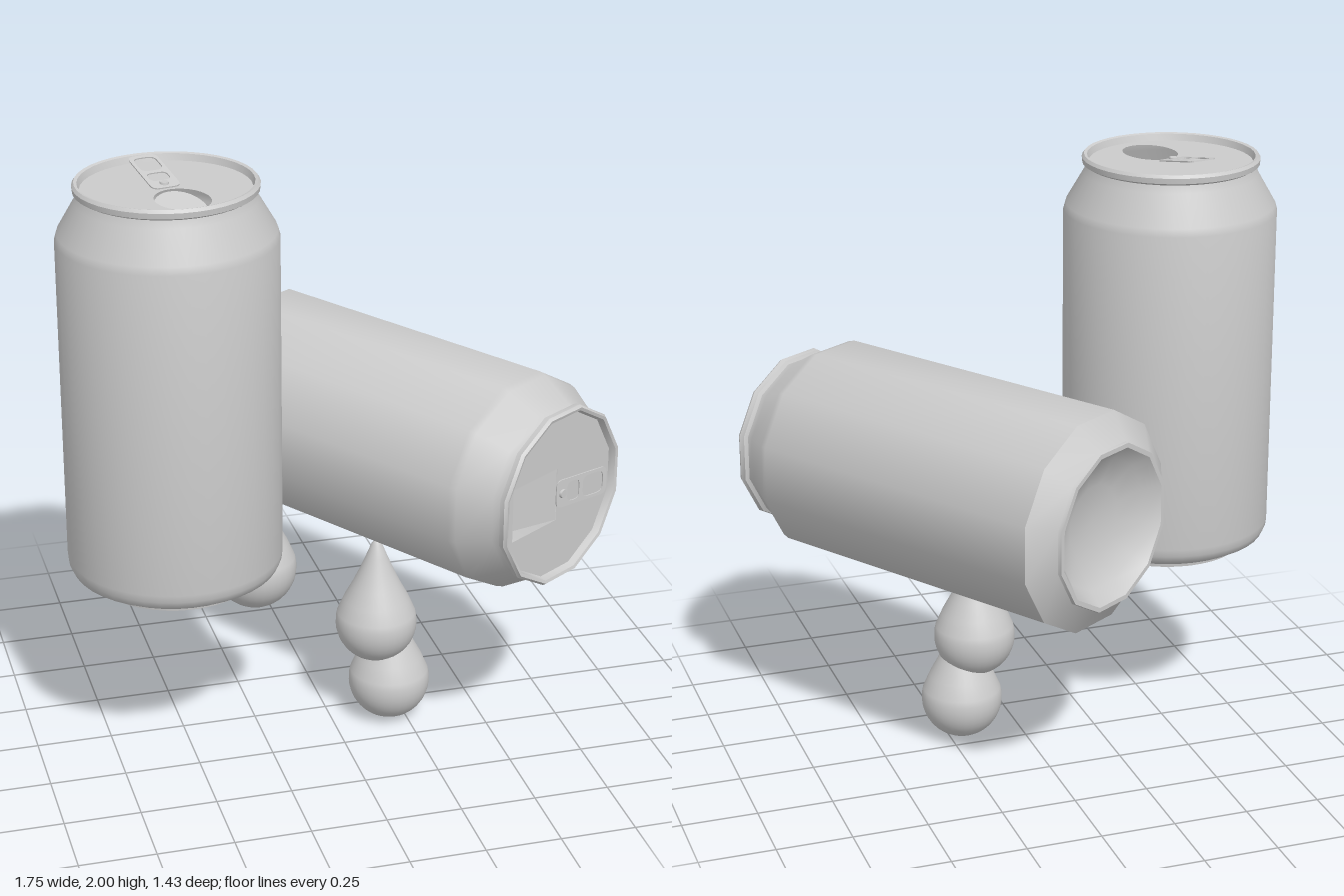
import * as THREE from 'three';
import { toCreasedNormals } from 'three/addons/utils/BufferGeometryUtils.js';

const material = new THREE.MeshStandardMaterial({ color: 0xcccccc, side: THREE.DoubleSide });
const v2 = (x, y) => new THREE.Vector2(x, y);

function add(parent, geometry, name) {
  const mesh = new THREE.Mesh(geometry, material);
  mesh.name = name;
  parent.add(mesh);
  return mesh;
}

function rectPath(x, y0, y1) {
  return [v2(-x, y0), v2(x, y0), v2(x, y1), v2(-x, y1)];
}

// Rounded rectangle centred on x = 0, between y0 and y1
function roundedShape(Type, half, y0, y1, r) {
  const s = new Type();
  s.moveTo(-half + r, y0);
  s.lineTo(half - r, y0);
  s.quadraticCurveTo(half, y0, half, y0 + r);
  s.lineTo(half, y1 - r);
  s.quadraticCurveTo(half, y1, half - r, y1);
  s.lineTo(-half + r, y1);
  s.quadraticCurveTo(-half, y1, -half, y1 - r);
  s.lineTo(-half, y0 + r);
  s.quadraticCurveTo(-half, y0, -half + r, y0);
  return s;
}

// Can standing on its own y = 0, with the mouth towards its own +z
function makeCan(name, sides, foot, mouth, widen) {
  const can = new THREE.Group();
  can.name = name;
  const profile = [
    [0, 0.09], [0.12, 0.08], [0.21, 0.045], [0.25, 0], [0.265, 0], // domed base
    ...foot,
    [0.35, 1.165], [0.343, 1.19], [0.285, 1.29], [0.277, 1.315],   // shoulder
    [0.289, 1.322], [0.291, 1.34], [0.284, 1.35], [0.274, 1.347], [0.266, 1.32], // rim
  ].map(([r, y]) => v2(r * widen, y));
  const start = Math.PI / sides;
  add(can, toCreasedNormals(new THREE.LatheGeometry(profile, sides, start), 0.7), 'canBody');

  // Lid with the mouth cut out
  const rim = [];
  for (let i = 0; i < sides; i++) {
    const a = start + (i / sides) * Math.PI * 2;
    rim.push(v2(Math.sin(a), Math.cos(a)).multiplyScalar(0.269 * widen));
  }
  const lidShape = new THREE.Shape(rim);
  lidShape.holes.push(new THREE.Path(mouth));
  const lid = add(can, new THREE.ShapeGeometry(lidShape).rotateX(-Math.PI / 2), 'lid');
  lid.position.y = 1.325;

  // Mouth flap, hinged at the lid centre and pushed inwards
  const flap = add(can, new THREE.ShapeGeometry(new THREE.Shape(mouth)).rotateX(-Math.PI / 2), 'mouthFlap');
  flap.position.y = 1.324;
  flap.rotation.x = 0.3;

  // Pull tab with two finger holes, tilted up at the free end
  const tabShape = roundedShape(THREE.Shape, 0.048, -0.01, 0.2, 0.025);
  tabShape.holes.push(
    roundedShape(THREE.Path, 0.037, 0.1, 0.185, 0.025),
    roundedShape(THREE.Path, 0.034, 0.035, 0.085, 0.02));
  const tabGeo = new THREE.ExtrudeGeometry(tabShape, { depth: 0.004, bevelEnabled: false, curveSegments: 5 });
  const tab = add(can, tabGeo.rotateX(-Math.PI / 2), 'pullTab');
  tab.position.y = 1.328;
  tab.rotation.x = 0.2;
  const rivet = add(can, new THREE.CylinderGeometry(0.014, 0.016, 0.012, 12), 'rivet');
  rivet.position.set(0, 1.334, -0.015);
  return can;
}

// Teardrop with its round end at y = 0
function makeDrop(x, y, z) {
  const points = [];
  for (let i = 0; i <= 12; i++) {
    const a = (i / 12) * 1.85;
    points.push(v2(0.137 * Math.sin(a), 0.137 * (1 - Math.cos(a))));
  }
  for (const p of [[0.11, 0.225], [0.083, 0.275], [0.057, 0.33], [0.036, 0.38], [0.018, 0.425], [0.008, 0.437], [0, 0.44]]) points.push(v2(...p));
  const drop = new THREE.Mesh(new THREE.LatheGeometry(points, 32), material);
  drop.name = 'waterDrop';
  drop.position.set(x, y, z);
  return drop;
}

export function createModel() {
  const model = new THREE.Group();
  model.name = 'cansAndDrops';

  // Upright can, finely rounded, with an oval mouth
  const oval = new THREE.EllipseCurve(0, -0.125, 0.085, 0.105).getPoints(32).slice(0, -1);
  const upright = makeCan('uprightCan', 40,
    [[0.267, 0.015], [0.3, 0.025], [0.335, 0.045], [0.347, 0.07], [0.35, 0.095]], oval, 1);
  upright.position.set(-0.53, 0.63, 0.087);
  upright.rotation.y = 0.2;
  model.add(upright);

  // Lying can, twelve-sided, with a square mouth
  const lying = makeCan('lyingCan', 12,
    [[0.267, 0.012], [0.35, 0.075]], rectPath(0.09, -0.225, -0.005), 1.03);
  const sin = Math.sin(0.564), cos = Math.cos(0.564);
  lying.quaternion.setFromRotationMatrix(new THREE.Matrix4().makeBasis(
    new THREE.Vector3(0, -1, 0), new THREE.Vector3(sin, 0, cos), new THREE.Vector3(-cos, 0, sin)));
  lying.position.set(-0.093, 0.98, -0.58);
  model.add(lying);

  // Falling drops
  for (const p of [[-0.265, 0.485, 0.09], [0.153, 0.225, 0.09], [0.2, 0, 0.09]]) model.add(makeDrop(...p));
  return model;
}
